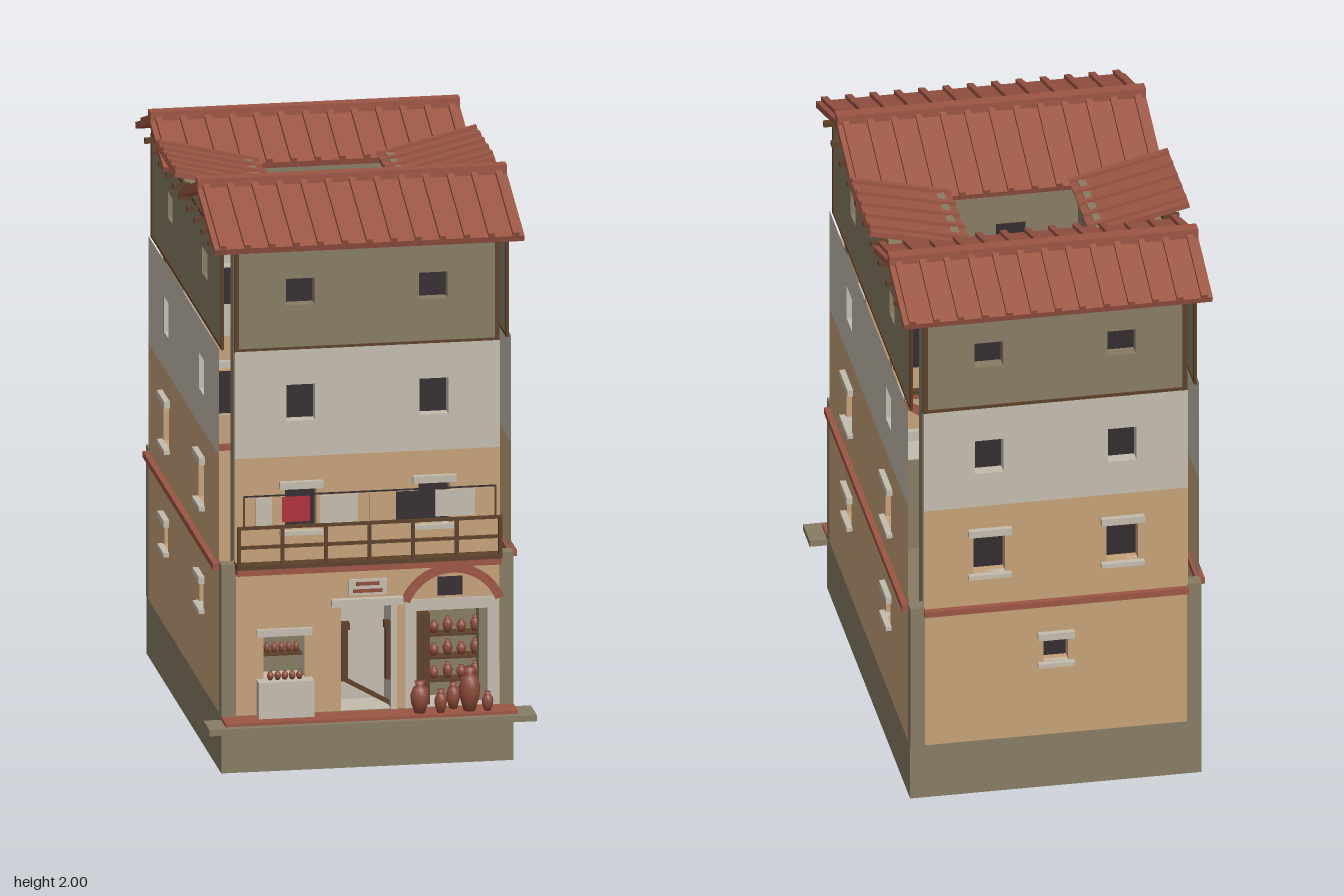
import * as THREE from 'three';

const mat = (name, color, side = THREE.FrontSide) => {
  const m = new THREE.MeshStandardMaterial({ color, side });
  m.name = name;
  return m;
};

export function createModel() {
  const root = new THREE.Group();
  root.name = 'tenementHouse';
  const D = THREE.DoubleSide;
  const tan = mat('tanPlaster', 0xc6a178, D), lime = mat('limePlaster', 0xc3bcae, D);
  const olive = mat('olivePlaster', 0x877c64, D), tile = mat('roofTile', 0x9c5644);
  const brown = mat('darkWood', 0x5c4028), dark = mat('windowDark', 0x352c30);
  const red = mat('redCloth', 0xb03038), clay = mat('clay', 0x8c4a38);

  const add = (parent, name, geo, m, x = 0, y = 0, z = 0) => {
    const mesh = new THREE.Mesh(geo, m);
    mesh.name = name;
    mesh.position.set(x, y, z);
    parent.add(mesh);
    return mesh;
  };
  // box given by its low and high corners
  const box = (parent, name, m, x0, x1, y0, y1, z0, z1) =>
    add(parent, name, new THREE.BoxGeometry(x1 - x0, y1 - y0, z1 - z0), m,
      (x0 + x1) / 2, (y0 + y1) / 2, (z0 + z1) / 2);
  const rect = (T, x0, x1, y0, y1) => new T([[x0, y0], [x1, y0], [x1, y1], [x0, y1]]
    .map(p => new THREE.Vector2(...p)));
  // rectangular ring, extruded along z
  const frame = (parent, name, m, x0, x1, y0, y1, t, z0, depth) => {
    const s = rect(THREE.Shape, x0 - t, x1 + t, y0 - t, y1 + t);
    s.holes.push(rect(THREE.Path, x0, x1, y0, y1));
    return add(parent, name, new THREE.ExtrudeGeometry(s, { depth, bevelEnabled: false }), m, 0, 0, z0);
  };
  // thin wall sheet with recessed openings [x0, x1, y0, y1, trim, depth, back material, jamb material]
  const wall = (parent, name, m, outline, d, openings) => {
    const s = new THREE.Shape(outline.map(p => new THREE.Vector2(...p)));
    for (const [x0, x1, y0, y1, trim, depth = 0.045, back = dark, jamb = m] of openings) {
      s.holes.push(rect(THREE.Path, x0, x1, y0, y1));
      frame(parent, 'openingJamb', jamb, x0, x1, y0, y1, 0.004, d - depth - 0.001, depth);
      box(parent, 'openingBack', back, x0, x1, y0, y1, d - depth - 0.004, d - depth);
      if (trim) {
        box(parent, 'lintel', lime, x0 - 0.02, x1 + 0.02, y1, y1 + 0.025, d - 0.02, d + 0.02);
        box(parent, 'sill', lime, x0 - 0.02, x1 + 0.02, y0 - 0.015, y0, d - 0.02, d + 0.02);
      }
    }
    add(parent, name, new THREE.ShapeGeometry(s), m, 0, 0, d);
  };
  const win = (u, w, y0, y1, trim) => [u - w / 2, u + w / 2, y0, y1, trim];
  const pot = (parent, x, y, z, r, h) => add(parent, 'clayPot', new THREE.LatheGeometry(
    [[0, 0], [0.55, 0], [0.9, 0.3], [1, 0.55], [0.75, 0.78], [0.4, 0.86], [0.55, 1], [0, 1]]
      .map(([a, b]) => new THREE.Vector2(a * r, b * h)), 12), clay, x, y, z);

  // base, pavement and corner pillars
  box(root, 'base', olive, -0.5, 0.5, 0, 0.2, -0.785, 0.72);
  box(root, 'pavement', olive, -0.56, 0.56, 0.165, 0.187, 0.715, 0.835);
  box(root, 'pavementTiles', tile, -0.5, 0.5, 0.187, 0.198, 0.72, 0.81);
  for (const sx of [-1, 1]) for (const [z, zi] of [[0.695, 0.64], [-0.764, -0.712]]) {
    box(root, 'cornerPillar', olive, sx * 0.475 - 0.025, sx * 0.475 + 0.025, 0.2, 0.73, z - 0.025, z + 0.025);
    box(root, 'innerCorner', olive, sx * 0.42 - 0.03, sx * 0.42 + 0.03, 0.2, 1.83, zi - 0.03, zi + 0.03);
  }

  // four outer sides: rotation, distance, extent, window positions
  const sides = [
    { name: 'front', rot: 0, d: 0.72, a: -0.453, b: 0.453, u: [-0.228, 0.228] },
    { name: 'back', rot: Math.PI, d: 0.785, a: -0.453, b: 0.453, u: [-0.228, 0.228], low: [0] },
    { name: 'right', rot: Math.PI / 2, d: 0.5, a: -0.67, b: 0.743, u: [-0.32, 0.388], low: [-0.32, 0.388], s: 1 },
    { name: 'left', rot: -Math.PI / 2, d: 0.5, a: -0.743, b: 0.67, u: [-0.388, 0.32], low: [-0.388, 0.32], s: -1 },
  ];
  for (const { name, rot, d, a, b, u, low = [], s } of sides) {
    const g = new THREE.Group();
    g.name = name + 'Side';
    g.rotation.y = rot;
    root.add(g);
    const quad = (y0, y1) => [[a, y0], [b, y0], [b, y1], [a, y1]];
    const lower = [...u.map(x => win(x, 0.108, 0.843, 0.99, true)), ...low.map(x => win(x, 0.085, 0.48, 0.57, true))];
    if (name === 'front') lower.push(
      [-0.09, 0.08, 0.201, 0.57, false, 0.14, lime, lime],
      [0.167, 0.41, 0.201, 0.54, false, 0.14, olive, lime],
      [-0.355, -0.215, 0.325, 0.475, false, 0.09, olive, lime]);
    wall(g, 'lowerWall', tan, quad(0.2, 1.1), d, lower);
    wall(g, 'middleWall', lime, quad(1.1, 1.475), d, u.map(x => win(x, 0.098, 1.225, 1.352)));
    // the top storey of the long sides rises into two gables
    const top = s ? [[0.67, 1.475], [0.67, 1.865], [0.39, 1.955], [0.03, 1.835], [-0.265, 1.835],
      [-0.55, 1.93], [-0.743, 1.86], [-0.743, 1.475]].map(([z, y]) => [-s * z, y]) : quad(1.475, 1.84);
    const dt = d - 0.013;
    wall(g, 'topWall', olive, top, dt, u.map(x => win(x, 0.098, 1.627, 1.72)));
    for (const x of [a + 0.007, b - 0.007])
      box(g, 'timberPost', brown, x - 0.008, x + 0.008, 1.47, 1.835, dt - 0.005, dt + 0.005);
    box(g, 'timberSill', brown, a, b, 1.471, 1.481, dt - 0.005, dt + 0.005);
    if (s) box(g, 'timberPlate', brown, a, b, 1.832, 1.843, dt - 0.005, dt + 0.005);
    box(g, 'tileBand', tile, a, b, 0.7, 0.722, d - 0.01, d + 0.02);
  }

  // courtyard: storeys of inner walls with windows, floor and fittings
  const cx = 0.23, z0 = -0.3, z1 = 0.05;
  for (const [y0, y1, m] of [[0.2, 1.1, tan], [1.1, 1.475, lime], [1.475, 1.865, olive]]) {
    for (const sx of [-1, 1]) {
      box(root, 'courtyardSideWall', m, sx * 0.25 - 0.02, sx * 0.25 + 0.02, y0, y1, z0 - 0.02, z1 + 0.02);
      box(root, 'courtyardWindow', dark, sx * 0.23 - 0.004, sx * 0.23 + 0.004, y1 - 0.25, y1 - 0.14, -0.17, -0.08);
    }
    const t = Math.min(y1, 1.83);
    for (const z of [z0, z1]) {
      box(root, 'courtyardWall', m, -cx, cx, y0, t, z - 0.02, z + 0.02);
      const f = z + (z > 0 ? -0.02 : 0.02);
      box(root, 'courtyardWindow', dark, -0.05, 0.05, y1 - 0.25, y1 - 0.14, f - 0.004, f + 0.004);
    }
  }
  box(root, 'courtyardFloor', lime, -cx, cx, 0.2, 0.205, z0, z1);
  box(root, 'cartBed', brown, -0.2, -0.07, 0.25, 0.29, -0.22, -0.08);
  for (const z of [-0.19, -0.11]) box(root, 'cartShaft', brown, -0.08, 0.08, 0.255, 0.267, z - 0.005, z + 0.005);
  for (const z of [-0.235, -0.06])
    add(root, 'cartWheel', new THREE.CylinderGeometry(0.045, 0.045, 0.012, 14), brown, -0.16, 0.25, z).rotation.x = Math.PI / 2;
  add(root, 'well', new THREE.CylinderGeometry(0.05, 0.05, 0.08, 20), lime, 0.12, 0.245, -0.22);
  add(root, 'barrel', new THREE.CylinderGeometry(0.022, 0.022, 0.09, 12), brown, 0.195, 0.25, -0.22);
  box(root, 'trough', lime, 0.165, 0.225, 0.205, 0.26, -0.05, 0.03);
  box(root, 'troughInside', dark, 0.175, 0.22, 0.26, 0.263, -0.04, 0.03);

  // tiled slope rising or falling along z
  const slope = (za, ya, zb, yb) => {
    const g = new THREE.Group(), len = Math.hypot(zb - za, yb - ya);
    g.name = 'roofSlope';
    g.position.set(0, (ya + yb) / 2, (za + zb) / 2);
    g.rotation.x = -Math.atan2(yb - ya, zb - za);
    root.add(g);
    box(g, 'roofSlab', tile, -0.53, 0.53, -0.022, 0, -len / 2, len / 2);
    for (let i = -6; i <= 6; i++)
      box(g, 'roofRib', tile, i * 0.0835 - 0.011, i * 0.0835 + 0.011, 0, 0.014, -len / 2, len / 2);
  };
  for (const [za, zr, zb, yr] of [[0.025, 0.395, 0.765, 1.975], [-0.833, -0.55, -0.265, 1.945]]) {
    slope(za, 1.85, zr, yr);
    slope(zr, yr, zb, 1.85);
    box(root, 'ridgeCap', tile, -0.53, 0.53, yr - 0.015, yr + 0.025, zr - 0.021, zr + 0.021);
  }
  // side roofs falling into the courtyard
  for (const sx of [-1, 1]) {
    const g = new THREE.Group(), ang = Math.atan2(0.08, 0.34);
    g.name = 'courtyardRoof';
    g.position.set(sx * 0.375, 1.893, -0.12);
    g.rotation.z = sx * ang;
    root.add(g);
    box(g, 'roofSlab', tile, -0.175, 0.175, -0.02, 0, -0.195, 0.195);
    for (let i = -2; i <= 2; i++) box(g, 'roofRib', tile, -0.175, 0.175, 0, 0.012, i * 0.08 - 0.01, i * 0.08 + 0.01);
    box(root, 'roofDeck', olive, sx * 0.36 - 0.12, sx * 0.36 + 0.12, 1.815, 1.828, -0.3, 0.06);
    for (let z = -0.65; z < 0.66; z += 0.142)
      box(root, 'rafterEnd', brown, sx * 0.5 - 0.03, sx * 0.5 + 0.03, 1.828, 1.845, z - 0.01, z + 0.01);
  }

  // balcony with railing and washing line
  box(root, 'balconyFloor', brown, -0.453, 0.453, 0.722, 0.736, 0.7, 0.77);
  box(root, 'balconyBeam', tile, -0.453, 0.453, 0.7, 0.722, 0.72, 0.765);
  for (let i = -3; i <= 3; i++) box(root, 'railPost', brown, i * 0.149 - 0.006, i * 0.149 + 0.006, 0.736, 0.87, 0.758, 0.77);
  for (const y of [0.8, 0.868]) box(root, 'handRail', brown, -0.453, 0.453, y - 0.005, y + 0.005, 0.758, 0.77);
  box(root, 'washingLine', dark, -0.43, 0.43, 0.976, 0.981, 0.762, 0.766);
  for (const x of [-0.43, 0.43]) box(root, 'linePole', brown, x - 0.003, x + 0.003, 0.87, 0.98, 0.761, 0.767);
  for (const [a, b, y, m] of [[-0.39, -0.335, 0.875, lime], [-0.3, -0.205, 0.885, red], [-0.17, -0.04, 0.875, lime],
    [0, 0.06, 0.88, tan], [0.09, 0.19, 0.875, dark], [0.225, 0.36, 0.88, lime]])
    box(root, 'washing', m, a, b, y, 0.972, 0.761, 0.767);

  // central doorway
  box(root, 'doorLintel', lime, -0.125, 0.12, 0.57, 0.595, 0.7, 0.745);
  box(root, 'doorJamb', lime, 0.08, 0.1, 0.2, 0.57, 0.7, 0.727);
  box(root, 'signBoard', lime, -0.065, 0.065, 0.605, 0.66, 0.715, 0.728);
  for (const [y, w] of [[0.645, 0.04], [0.62, 0.05]]) box(root, 'signStripe', clay, -w, w, y - 0.006, y + 0.006, 0.728, 0.731);
  for (const [a, b] of [[-0.088, -0.065], [0.065, 0.088]]) {
    box(root, 'doorPost', brown, a, b, 0.3, 0.5, 0.685, 0.712);
    box(root, 'doorPostHead', brown, a - 0.006, b + 0.006, 0.48, 0.505, 0.685, 0.714);
  }
  box(root, 'doorBar', brown, -0.1, 0.1, -0.007, 0.007, -0.007, 0.007).rotation.z = -0.52;
  root.children.at(-1).position.set(0, 0.26, 0.69);

  // arched shop with shelves and pots
  const R = 0.1876, h = 1.2, ring = new THREE.Shape();
  ring.absarc(0, 0, R, Math.PI / 2 - h, Math.PI / 2 + h, false);
  ring.absarc(0, 0, R - 0.03, Math.PI / 2 + h, Math.PI / 2 - h, true);
  add(root, 'shopArch', new THREE.ExtrudeGeometry(ring, { depth: 0.014, bevelEnabled: false, curveSegments: 14 }),
    tile, 0.29, 0.512, 0.717);
  box(root, 'archWindow', dark, 0.24, 0.325, 0.59, 0.655, 0.717, 0.725);
  box(root, 'shopHead', lime, 0.13, 0.45, 0.54, 0.58, 0.7, 0.726);
  for (const [a, b] of [[0.13, 0.167], [0.41, 0.45]]) box(root, 'shopJamb', lime, a, b, 0.2, 0.54, 0.7, 0.726);
  box(root, 'shopDoor', brown, 0.172, 0.218, 0.202, 0.52, 0.66, 0.7);
  for (const y of [0.27, 0.35, 0.43]) {
    box(root, 'shopShelf', brown, 0.17, 0.408, y - 0.008, y, 0.585, 0.64);
    for (let i = 0; i < 4; i++) pot(root, 0.245 + i * 0.047, y, 0.615, 0.017, 0.042 + (i % 2) * 0.012);
  }
  for (const [x, r, ht, z] of [[0.17, 0.033, 0.11, 0.775], [0.24, 0.022, 0.08, 0.785],
    [0.34, 0.037, 0.15, 0.775], [0.4, 0.02, 0.065, 0.785], [0.29, 0.024, 0.09, 0.74]]) pot(root, x, 0.198, z, r, ht);

  // serving window with counter
  box(root, 'counter', lime, -0.38, -0.19, 0.198, 0.325, 0.71, 0.77);
  box(root, 'servingLintel', lime, -0.38, -0.19, 0.475, 0.5, 0.7, 0.735);
  box(root, 'servingShelf', brown, -0.353, -0.217, 0.395, 0.402, 0.64, 0.69);
  for (let i = 0; i < 5; i++) {
    pot(root, -0.335 + i * 0.025, 0.402, 0.665, 0.011, 0.034);
    pot(root, -0.335 + i * 0.025, 0.325, 0.735, 0.012, 0.03);
  }
  return root;
}
